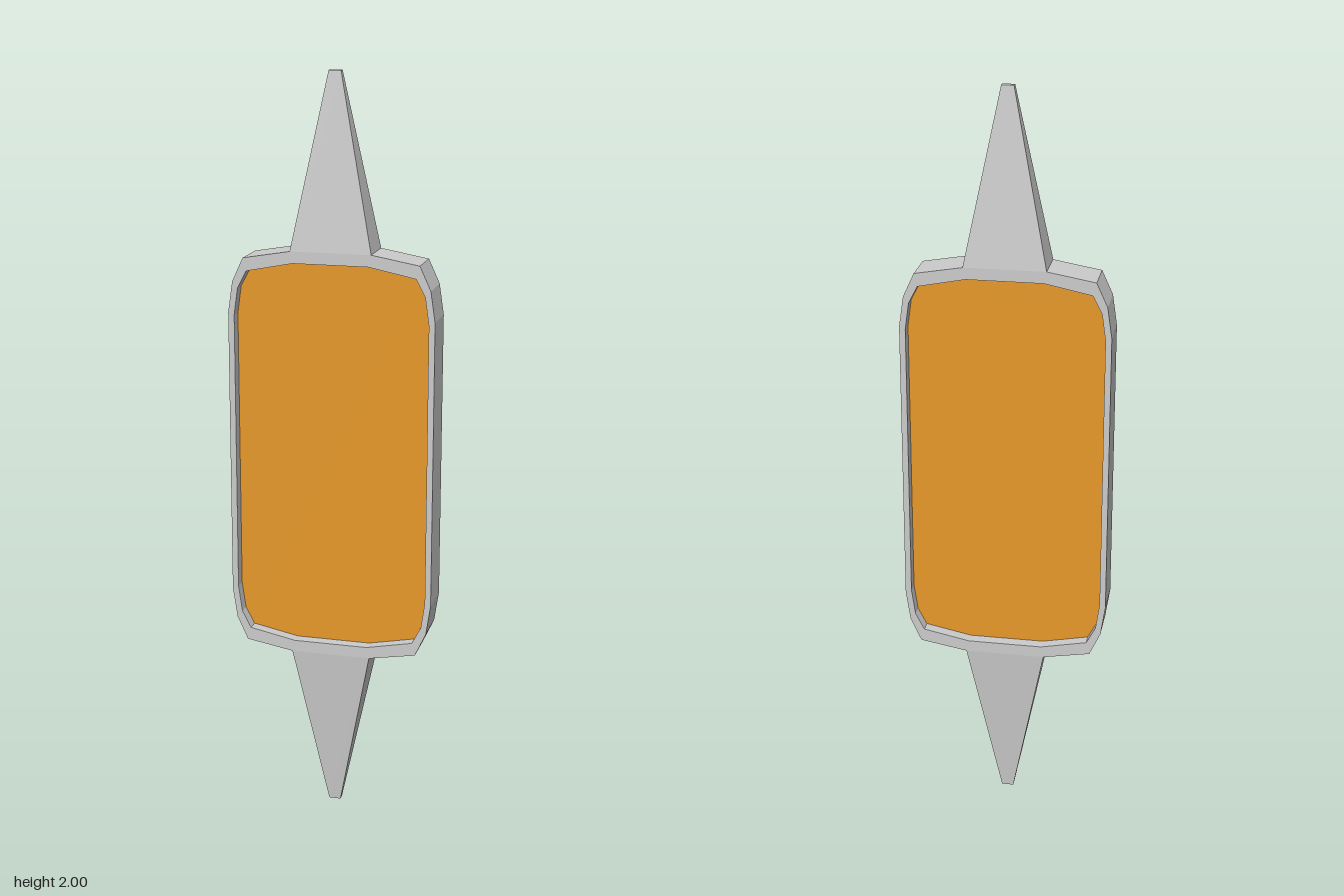
import * as THREE from 'three';

const CENTER_Y = 1;
const DEPTH = 0.11;

// Upper-right quarter outlines, from the top edge round to the side
const OUTER = [[0.107, 0.548], [0.233, 0.526], [0.262, 0.463], [0.274, 0.382]];
const INNER = [[0.1, 0.517], [0.224, 0.492], [0.248, 0.446], [0.258, 0.375]];

// Mirrors a quarter outline into a closed clockwise loop of points
function mirrorLoop(quarter) {
  const right = [...quarter, ...quarter.map(([x, y]) => [x, -y]).reverse()];
  const left = right.map(([x, y]) => [-x, y]).reverse();
  return [...right, ...left].map(([x, y]) => new THREE.Vector2(x, y));
}

function extrudeCentred(shape, depth) {
  const geometry = new THREE.ExtrudeGeometry(shape, { depth, bevelEnabled: false });
  return geometry.translate(0, CENTER_Y, -depth / 2);
}

// Box tapered from the full frame depth to a small blunt tip
function spikeGeometry(baseY, tipY) {
  const geometry = new THREE.BoxGeometry(2, 1, 2);
  const position = geometry.attributes.position;
  const baseIsTop = baseY > tipY;
  for (let i = 0; i < position.count; i++) {
    const atBase = (position.getY(i) > 0) === baseIsTop;
    position.setXYZ(
      i,
      position.getX(i) * (atBase ? 0.107 : 0.016),
      atBase ? baseY : tipY,
      position.getZ(i) * (atBase ? DEPTH / 2 : 0.008)
    );
  }
  geometry.computeVertexNormals();
  return geometry;
}

export function createModel() {
  const group = new THREE.Group();
  const grey = new THREE.MeshStandardMaterial({ color: 0xcccccc, flatShading: true });
  const amber = new THREE.MeshStandardMaterial({ color: 0xe6982a, flatShading: true });

  const add = (name, geometry, material) => {
    const mesh = new THREE.Mesh(geometry, material);
    mesh.name = name;
    group.add(mesh);
  };

  // Rim around the panel; the hole runs opposite to the outline so its walls face inward
  const rim = new THREE.Shape(mirrorLoop(OUTER));
  rim.holes.push(new THREE.Path(mirrorLoop(INNER).reverse()));
  add('frame', extrudeCentred(rim, DEPTH), grey);

  // Panel recessed on both sides
  add('panel', extrudeCentred(new THREE.Shape(mirrorLoop(INNER)), 0.045), amber);

  // Tapered points above and below
  add('topSpike', spikeGeometry(CENTER_Y + 0.548, 2), grey);
  add('bottomSpike', spikeGeometry(CENTER_Y - 0.548, 0), grey);

  return group;
}
